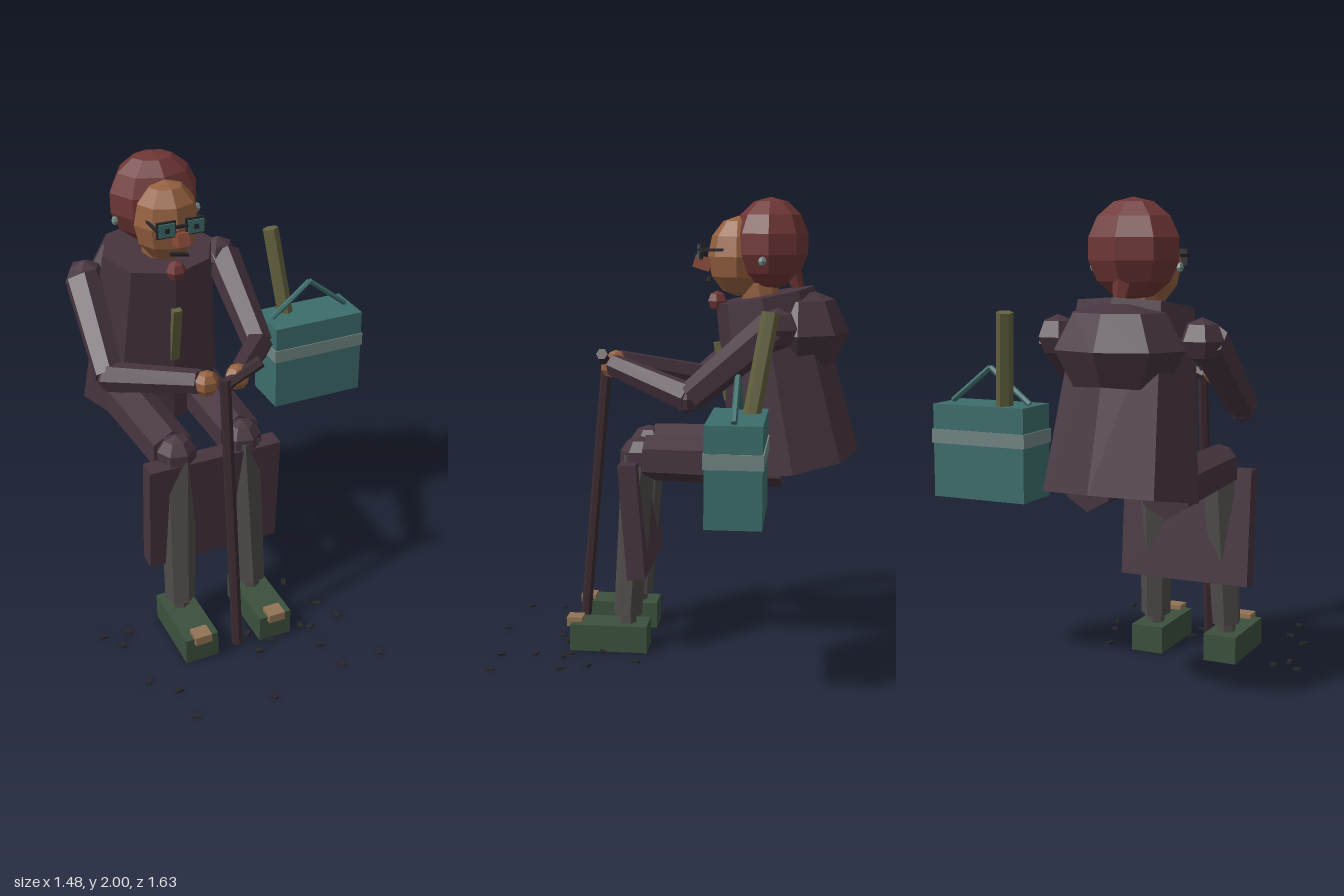
import * as THREE from 'three';

const mat = (color) => new THREE.MeshStandardMaterial({ color, flatShading: true });
const M = {
  coat: mat(0x46343f), hair: mat(0x6e3535), skin: mat(0x94603f), teal: mat(0x3c6d6b), band: mat(0x6f8583),
  shoe: mat(0x3b503c), trouser: mat(0x4f4b4a), toe: mat(0x927455), olive: mat(0x62613f),
  cane: mat(0x3a2a2f), dark: mat(0x26262a), nose: mat(0x8a4a3a),
};
const CX = -0.2; // centre line of the seated figure

export function createModel() {
  const root = new THREE.Group();
  root.name = 'seatedElder';

  const add = (name, geo, material, pos, rot = [0, 0, 0], scale = [1, 1, 1]) => {
    const m = new THREE.Mesh(geo, material);
    m.name = name;
    m.position.set(...pos);
    m.rotation.set(...rot);
    m.scale.set(...scale);
    root.add(m);
    return m;
  };
  const box = (name, material, size, pos, rot) => add(name, new THREE.BoxGeometry(...size), material, pos, rot);
  const ball = (name, material, radii, pos, w = 8, h = 6, rot) =>
    add(name, new THREE.SphereGeometry(1, w, h), material, pos, rot, radii);
  // Tapered rod running from a to b
  const rod = (name, material, a, b, ra, rb = ra, sides = 6) => {
    const A = new THREE.Vector3(...a), B = new THREE.Vector3(...b);
    const dir = B.clone().sub(A);
    const m = add(name, new THREE.CylinderGeometry(rb, ra, dir.length(), sides), material,
      A.clone().add(B).multiplyScalar(0.5).toArray());
    m.quaternion.setFromUnitVectors(new THREE.Vector3(0, 1, 0), dir.normalize());
    return m;
  };

  // Coat leaning forward, with a hunched back
  add('coat', new THREE.CylinderGeometry(0.25, 0.33, 0.75, 8), M.coat, [CX, 1.21, -0.46], [0.19, 0, 0], [1, 1, 0.87]);
  ball('hump', M.coat, [0.28, 0.2, 0.22], [CX, 1.42, -0.54], 8, 4);
  box('scarfEnd', M.olive, [0.04, 0.26, 0.03], [CX, 1.24, -0.205], [0.19, 0, 0]);

  // Head
  ball('hair', M.hair, [0.2, 0.2, 0.168], [CX, 1.8, -0.41], 8, 7);
  ball('face', M.skin, [0.145, 0.175, 0.135], [CX, 1.745, -0.272], 8, 6);
  rod('neck', M.skin, [CX, 1.5, -0.38], [CX, 1.66, -0.36], 0.08, 0.08, 8);
  rod('hairTail', M.hair, [CX, 1.7, -0.5], [CX, 1.6, -0.535], 0.045, 0.025, 5);
  box('nose', M.nose, [0.05, 0.055, 0.075], [CX, 1.715, -0.115], [-0.3, 0, 0]);
  box('mouth', M.dark, [0.08, 0.012, 0.02], [CX, 1.64, -0.14], [0, 0, -0.2]);
  ball('goatee', M.hair, [0.045, 0.045, 0.045], [CX, 1.55, -0.18], 6, 4);

  // Glasses
  box('bridge', M.dark, [0.06, 0.012, 0.012], [CX, 1.775, -0.11]);

  for (const s of [-1, 1]) {
    const x = (d) => CX + s * d;
    box('lensFrame', M.dark, [0.084, 0.07, 0.01], [x(0.064), 1.768, -0.114]);
    box('lens', M.teal, [0.07, 0.056, 0.012], [x(0.064), 1.768, -0.108]);
    box('pupil', M.dark, [0.02, 0.02, 0.01], [x(0.064), 1.768, -0.102]);
    box('templeArm', M.dark, [0.01, 0.012, 0.17], [x(0.108), 1.775, -0.185]);
    ball('earring', M.band, [0.015, 0.02, 0.02], [x(0.187), 1.73, -0.385], 6, 4);

    // Arms meeting on the cane
    ball('shoulder', M.coat, [0.09, 0.09, 0.095], [x(0.31), 1.455, -0.455], 6, 4);
    rod('upperArm', M.coat, [x(0.325), 1.46, -0.44], [x(0.345), 1.17, -0.1], 0.08, 0.065, 6);
    ball('elbow', M.coat, [0.06, 0.065, 0.06], [x(0.34), 1.165, -0.09], 6, 4);
    rod('forearm', M.coat, [x(0.345), 1.165, -0.1], [x(0.085), 1.27, 0.27], 0.065, 0.05, 6);
    ball('hand', M.skin, [0.055, 0.055, 0.05], [x(0.068), 1.265, 0.285], 6, 5);

    // Legs
    rod('thigh', M.coat, [x(0.17), 0.865, -0.48], [x(0.155), 0.87, 0.12], 0.11, 0.1, 6);
    ball('knee', M.coat, [0.09, 0.09, 0.09], [x(0.15), 0.875, 0.145], 7, 5);
    rod('lowerLeg', M.trouser, [x(0.15), 0.88, 0.15], [x(0.172), 0.16, 0.2], 0.08, 0.066, 6);
    rod('ankle', M.trouser, [x(0.172), 0.17, 0.2], [x(0.174), 0.08, 0.2], 0.04, 0.04, 6);
    box('shoe', M.shoe, [0.15, 0.12, 0.345], [x(0.175), 0.06, 0.278]);
    box('toe', M.toe, [0.075, 0.04, 0.07], [x(0.175), 0.12, 0.437]);
  }

  // Skirt front hanging over the knees
  box('skirtPanel', M.coat, [0.6, 0.51, 0.08], [CX, 0.605, 0.163], [0.08, 0, 0]);

  // Cane
  rod('caneShaft', M.cane, [CX, 0.01, 0.43], [CX, 1.28, 0.315], 0.024, 0.024, 6);
  rod('caneHandle', M.cane, [CX - 0.01, 1.245, 0.31], [CX + 0.16, 1.325, 0.31], 0.026, 0.026, 6);

  // Carry box with folding handle and a stick leaning out
  const bx = 0.512, bz = -0.322;
  box('carryBox', M.teal, [0.44, 0.4, 0.222], [bx, 0.95, bz]);
  box('carryBoxBand', M.band, [0.452, 0.06, 0.232], [bx, 1.012, bz]);
  for (const s of [-1, 1])
    rod('carryBoxHandle', M.teal, [bx + s * 0.19, 1.155, bz], [bx, 1.305, bz], 0.013, 0.013, 6);
  rod('stick', M.olive, [0.42, 1.1, -0.365], [0.367, 1.545, -0.44], 0.036, 0.036, 6);

  // Seeds scattered on the ground
  const seeds = [[-0.72, 0.145], [-0.61, 0.16], [-0.66, 0.23], [-0.64, 0.495], [-0.545, 0.595], [-0.535, 0.765],
    [-0.2, 0.795], [0.175, 0.135], [0.065, 0.3], [0.245, 0.335], [0.29, 0.445], [0.105, 0.44], [0.145, 0.465],
    [0.13, 0.59], [0.155, 0.74], [0.34, 0.74], [-0.13, 0.39], [-0.13, 0.515], [-0.055, 0.47]];
  seeds.forEach(([x, z], i) => box('seed', M.dark, [0.035, 0.01, 0.02], [x, 0.007, z], [0, i * 2.4, 0]));

  return root;
}
